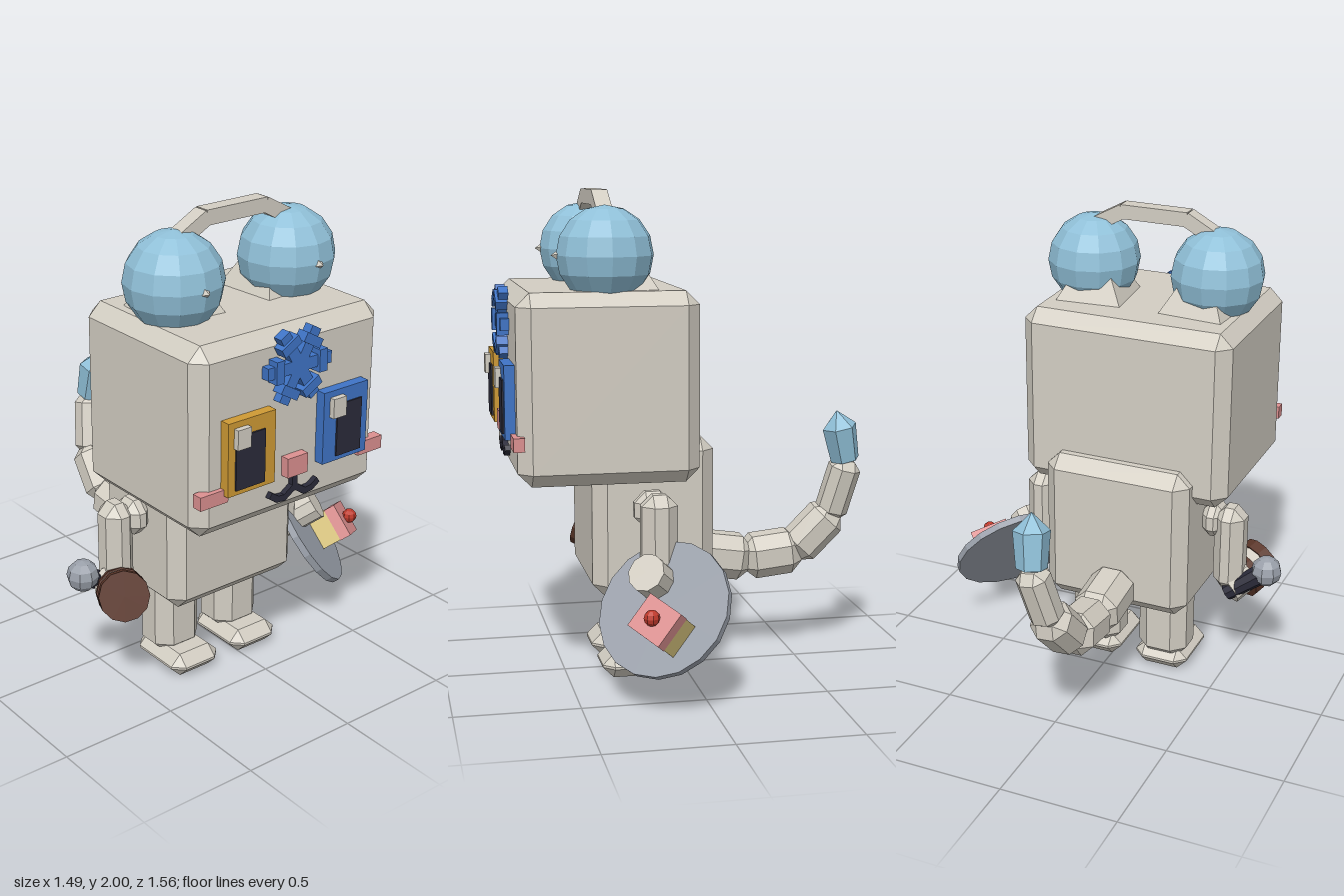
import * as THREE from 'three';
import { ConvexGeometry } from 'three/addons/geometries/ConvexGeometry.js';

const V = (x, y, z) => new THREE.Vector3(x, y, z);
const UP = V(0, 1, 0);
const MID = -0.08; // symmetry plane of head and body

const colours = {
  beige: 0xd3cec3, skyBlue: 0x90c0d8, royalBlue: 0x3f74c6, amber: 0xcf9a34, ink: 0x2b2b3a,
  pink: 0xdc9090, steel: 0x9aa0aa, brown: 0x5a3528, sponge: 0xdcc880, cherryRed: 0xc03a2c,
};

export function createModel() {
  const model = new THREE.Group();
  model.name = 'robotCat';
  const mats = {};
  for (const [name, color] of Object.entries(colours)) {
    mats[name] = new THREE.MeshStandardMaterial({ color });
    mats[name].name = name;
  }

  // Faceted mesh
  const add = (name, geo, mat, pos = V(0, 0, 0)) => {
    const flat = geo.index ? geo.toNonIndexed() : geo;
    flat.computeVertexNormals();
    const mesh = new THREE.Mesh(flat, mats[mat]);
    mesh.name = name;
    mesh.position.copy(pos);
    model.add(mesh);
    return mesh;
  };

  // Box with all edges cut at 45 degrees
  const chamferBox = (w, h, d, c) => {
    const pts = [];
    for (const sx of [-1, 1]) for (const sy of [-1, 1]) for (const sz of [-1, 1]) {
      const x = w / 2, y = h / 2, z = d / 2;
      pts.push(V(sx * x, sy * (y - c), sz * (z - c)), V(sx * (x - c), sy * y, sz * (z - c)),
        V(sx * (x - c), sy * (y - c), sz * z));
    }
    return new ConvexGeometry(pts);
  };

  // Box given by its limits
  const span = (name, mat, x0, x1, y0, y1, z0, z1, c = 0) => {
    const w = x1 - x0, h = y1 - y0, d = z1 - z0;
    const geo = c ? chamferBox(w, h, d, c) : new THREE.BoxGeometry(w, h, d);
    return add(name, geo, mat, V((x0 + x1) / 2, (y0 + y1) / 2, (z0 + z1) / 2));
  };

  // Part whose y axis runs from a to b; make(length) builds the geometry
  const between = (name, mat, a, b, make) => {
    const dir = b.clone().sub(a);
    const mesh = add(name, make(dir.length()), mat, a.clone().add(b).multiplyScalar(0.5));
    mesh.quaternion.setFromUnitVectors(UP, dir.normalize());
    return mesh;
  };
  const rod = (r0, r1, n) => (len) => new THREE.CylinderGeometry(r1, r0, len, n);

  // Head and body
  span('head', 'beige', -0.535, 0.375, 0.85, 1.61, -0.01, 0.715, 0.055);
  span('body', 'beige', -0.4, 0.24, 0.355, 1.01, -0.095, 0.405, 0.055);

  // Mirrored parts: legs, feet, arms, ears
  for (const s of [-1, 1]) {
    const side = s > 0 ? 'left' : 'right';
    const at = (a, b) => (s > 0 ? [MID + a, MID + b] : [MID - b, MID - a]);
    span(side + 'Leg', 'beige', ...at(0.047, 0.267), 0.05, 0.42, 0.05, 0.25, 0.055);
    span(side + 'Foot', 'beige', ...at(0.037, 0.275), 0, 0.1, 0.05, 0.36, 0.045);
    span(side + 'Shoulder', 'beige', ...at(0.3, 0.42), 0.66, 0.81, 0.1, 0.25, 0.045);
    span(side + 'Arm', 'beige', ...at(0.37, 0.5), 0.43, 0.81, 0.09, 0.235, 0.045);

    const ex = MID + s * 0.275;
    add(side + 'EarGlobe', new THREE.SphereGeometry(0.195, 12, 8), 'skyBlue', V(ex, 1.745, 0.345));
    const ear = add(side + 'EarBase', new THREE.ConeGeometry(0.2, 0.26, 4, 1).rotateY(Math.PI / 4),
      'beige', V(ex - s * 0.04, 1.735, 0.295));
    ear.rotation.y = s * 0.08;
    const stud = add(side + 'EarStud', new THREE.ConeGeometry(0.065, 0.09, 4).rotateX(Math.PI / 2),
      'beige', V(ex, 1.745, 0.515));
    stud.rotation.z = 0.3;
  }

  // Headband
  const band = [V(-0.37, 1.885, 0.347), V(-0.22, 1.967, 0.347), V(0.06, 1.967, 0.347), V(0.21, 1.885, 0.347)];
  for (let i = 0; i < 3; i++) {
    between('headband', 'beige', band[i], band[i + 1], (len) => new THREE.BoxGeometry(0.06, len + 0.01, 0.065));
  }

  // Face
  span('rightEyeFrame', 'amber', -0.425, -0.2, 1.03, 1.325, 0.7, 0.757);
  span('rightPupil', 'ink', -0.392, -0.253, 1.05, 1.265, 0.755, 0.764);
  span('rightEyeGlint', 'beige', -0.398, -0.335, 1.22, 1.3, 0.755, 0.78);
  span('leftEyeFrame', 'royalBlue', 0.04, 0.265, 1.03, 1.325, 0.7, 0.757);
  span('leftPupil', 'ink', 0.105, 0.23, 1.05, 1.265, 0.755, 0.764);
  span('leftEyeGlint', 'beige', 0.07, 0.135, 1.22, 1.3, 0.755, 0.78);
  span('nose', 'pink', -0.13, -0.03, 1.02, 1.1, 0.7, 0.752);
  span('rightCheek', 'pink', -0.535, -0.405, 1.0, 1.055, 0.69, 0.735);
  span('leftCheek', 'pink', 0.25, 0.375, 1.0, 1.055, 0.69, 0.735);
  span('mouthStem', 'ink', -0.092, -0.068, 0.95, 1.03, 0.71, 0.738);
  for (const s of [-1, 1]) {
    const lip = [[0, 0.968], [0.05, 0.935], [0.085, 0.938], [0.115, 0.958]];
    for (let i = 0; i < 3; i++) {
      const [a, b] = [lip[i], lip[i + 1]].map(([x, y]) => V(MID + s * x, y, 0.724));
      between('mouthCurve', 'ink', a, b, (len) => new THREE.BoxGeometry(0.026, len + 0.012, 0.028));
    }
  }

  // Snowflake on the forehead
  for (let i = 0; i < 6; i++) {
    const a = i * Math.PI / 3;
    const arm = add('snowflakeArm', new THREE.BoxGeometry(0.155, 0.048, 0.04).translate(0.0775, 0, 0),
      'royalBlue', V(MID, 1.465, 0.73));
    const bar = add('snowflakeBar', new THREE.BoxGeometry(0.038, 0.09, 0.05).translate(0.105, 0, 0),
      'royalBlue', V(MID, 1.465, 0.737));
    arm.rotation.z = bar.rotation.z = a;
  }

  // Jointed tail with a glowing tip
  const tail = [V(-0.085, 0.46, -0.06), V(-0.085, 0.425, -0.3), V(-0.08, 0.45, -0.52),
    V(-0.06, 0.61, -0.67), V(-0.02, 0.83, -0.725)];
  const width = [0.19, 0.185, 0.165, 0.13];
  for (let i = 0; i < 4; i++) {
    between('tailSegment', 'beige', tail[i], tail[i + 1],
      (len) => chamferBox(width[i], len + 0.04, width[i], width[i] * 0.28));
  }
  between('tailTip', 'skyBlue', tail[4], V(0.0, 1.065, -0.675), (len) => new THREE.LatheGeometry(
    [[0, -0.5], [0.062, -0.42], [0.074, 0.2], [0, 0.5]].map(([r, t]) => new THREE.Vector2(r, t * len)), 6));

  // Left hand pushed through a plate
  const n = V(0.62, 0.55, 0.55).normalize();
  const out = (p, d) => p.clone().addScaledVector(n, d);
  between('leftHand', 'beige', V(0.36, 0.42, 0.13), V(0.49, 0.53, 0.24), rod(0.078, 0.078, 10));
  const plate = V(0.507, 0.383, 0.17);
  between('plate', 'steel', out(plate, -0.015), out(plate, 0.015), rod(0.28, 0.28, 18));

  // Cake slice on the plate
  const ax = V(-0.02, 0.117, -0.095);
  ax.addScaledVector(n, -ax.dot(n)).normalize();
  const turn = new THREE.Matrix4().makeBasis(ax, n, ax.clone().cross(n));
  const cake = V(0.61, 0.335, 0.185);
  add('cakeSponge', new THREE.BoxGeometry(0.145, 0.11, 0.165), 'sponge', cake).quaternion.setFromRotationMatrix(turn);
  add('cakeIcing', new THREE.BoxGeometry(0.15, 0.05, 0.17), 'pink', out(cake, 0.08)).quaternion.setFromRotationMatrix(turn);
  add('cherry', new THREE.SphereGeometry(0.032, 8, 6), 'cherryRed', out(cake, 0.125));

  // Right hand with a sandwich biscuit and a microphone
  between('rightHand', 'beige', V(-0.51, 0.43, 0.14), V(-0.57, 0.48, 0.22), rod(0.078, 0.078, 10));
  const m = V(-0.45, 0.35, 0.82).normalize();
  const biscuit = (d) => V(-0.572, 0.467, 0.285).addScaledVector(m, d);
  between('biscuitBack', 'brown', biscuit(-0.07), biscuit(-0.022), rod(0.102, 0.102, 12));
  between('biscuitFilling', 'beige', biscuit(-0.022), biscuit(0.022), rod(0.095, 0.095, 12));
  between('biscuitFront', 'brown', biscuit(0.022), biscuit(0.07), rod(0.102, 0.102, 12));
  add('microphoneHead', new THREE.SphereGeometry(0.066, 8, 6), 'steel', V(-0.678, 0.535, 0.165));
  between('microphoneHandle', 'ink', V(-0.52, 0.42, 0.115), V(-0.665, 0.525, 0.16), rod(0.035, 0.045, 8));

  return model;
}
